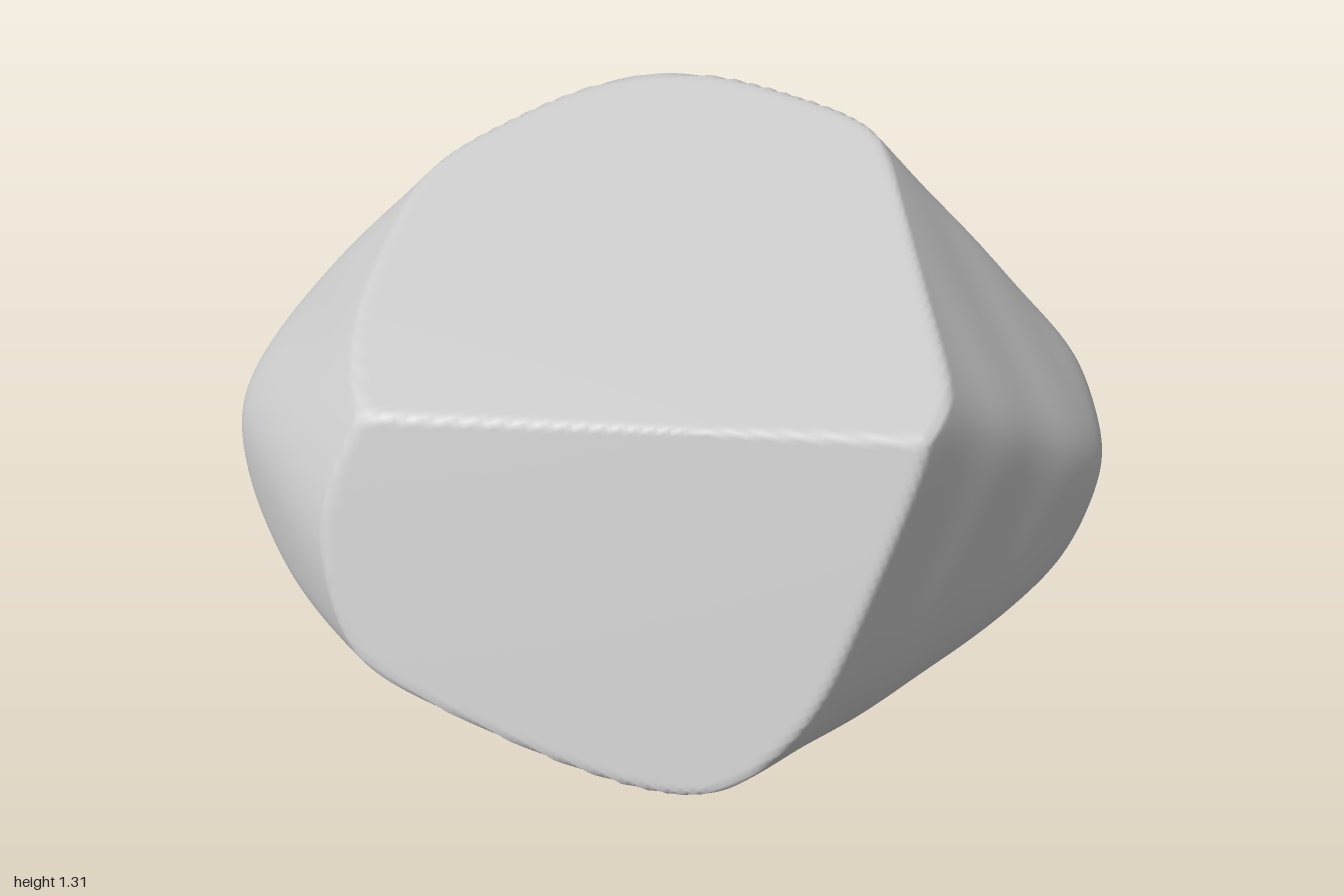
import * as THREE from 'three';
import { mergeVertices } from 'three/addons/utils/BufferGeometryUtils.js';

const CENTER = new THREE.Vector3(0, 0.6, 0);

// A plane as its unit normal and its distance from the rock's centre
function plane(x, y, z, d) {
  const n = new THREE.Vector3(x, y, z);
  const dist = d - n.dot(CENTER);
  const len = n.length();
  return { n: n.divideScalar(len), dist: dist / len };
}

// Weathered sides, blended softly into each other
const SIDES = [
  [0.67, -0.05, 0.74, 0.725],    // front, left side
  [0.75, 0.66, 0.15, 1.145],     // left shoulder
  [0.98, -0.2, 0, 0.88],         // left tip
  [0.51, 0.475, -0.72, 1.0],     // back left slope
  [0.7, -0.1, -0.7, 0.83],       // back left belly
  [0.38, 0.2, -0.9, 0.92],       // back, left half
  [-0.22, 0.25, -0.94, 0.9],     // back, right half
  [0, 0.63, -0.78, 1.165],       // back, upper slope
  [-0.8, -0.05, -0.6, 0.815],    // back right belly
  [-0.49, 0.49, -0.72, 1.02],    // back right slope
  [-0.7, 0.72, 0, 1.255],        // right shoulder
  [-0.75, 0.5, 0.35, 1.165],     // front right bevel
  [-0.9, -0.05, 0.4, 0.88],      // front, right side
  [-0.7, -0.7, 0, 0.4],          // right underside
  [0, -0.94, -0.34, -0.055],     // bottom, back
  [-0.05, -0.92, 0.38, 0.095],   // bottom, front
  [0.12, -0.99, 0, 0.045],       // bottom, left
  [-0.13, -0.99, 0, 0.005],      // bottom, right
  [-0.4, -0.85, 0.35, 0.13],     // bottom, front right
  [0.4, -0.85, 0.3, 0.2],        // bottom, front left
  [0, -0.7, -0.7, 0.3],          // back underside
  [0.75, -0.65, 0, 0.52],        // left underside
  [-0.5, -0.6, 0.6, 0.47],       // front right underside
  [0.5, -0.55, 0.67, 0.44],      // front left underside
  [-0.5, -0.6, -0.6, 0.37],      // back right underside
  [0.6, -0.5, -0.6, 0.53],       // back left underside
].map((p) => plane(...p));

// Two clean, flat cuts: sloping top and front face
const CUTS = [
  plane(-0.047, 1, 0.316, 1.18),
  plane(-0.148, 0.35, 1, 0.926),
];

const BLEND = 22;      // higher gives tighter rounding
const SWELL = 1.015;   // makes up for what the rounding removes

function bodyRadius(u) {
  let sum = 0;
  for (const { n, dist } of SIDES) {
    const c = n.dot(u);
    if (c > 0) sum += Math.pow(c / dist, BLEND);
  }
  return SWELL * Math.pow(sum, -1 / BLEND);
}

// Gentle hollows and bumps of the worn surface
function undulation(p) {
  return 0.004 * Math.sin(7 * p.x + 3 * p.y + 1) * Math.sin(6 * p.z - 4 * p.y)
    + 0.003 * Math.sin(13 * p.x - 6 * p.z) * Math.sin(9 * p.y + 5 * p.z + 2);
}

function createRockGeometry() {
  let geometry = new THREE.IcosahedronGeometry(1, 64);
  geometry.deleteAttribute('normal');
  geometry.deleteAttribute('uv');
  geometry = mergeVertices(geometry, 1e-5);
  const pos = geometry.attributes.position;
  const u = new THREE.Vector3();
  const p = new THREE.Vector3();
  for (let i = 0; i < pos.count; i++) {
    u.fromBufferAttribute(pos, i).normalize();
    p.copy(u).multiplyScalar(bodyRadius(u));
    let radius = p.length() + undulation(p);
    // Slice off everything beyond the flat cuts
    for (const { n, dist } of CUTS) {
      const c = n.dot(u);
      if (c > 0) radius = Math.min(radius, dist / c);
    }
    p.copy(u).multiplyScalar(radius).add(CENTER);
    pos.setXYZ(i, p.x, p.y, p.z);
  }
  geometry.computeVertexNormals();
  return geometry;
}

export function createModel() {
  const group = new THREE.Group();
  group.name = 'rock';
  const boulder = new THREE.Mesh(
    createRockGeometry(),
    new THREE.MeshStandardMaterial({ color: 0xcccccc }),
  );
  boulder.name = 'boulder';
  group.add(boulder);
  return group;
}
